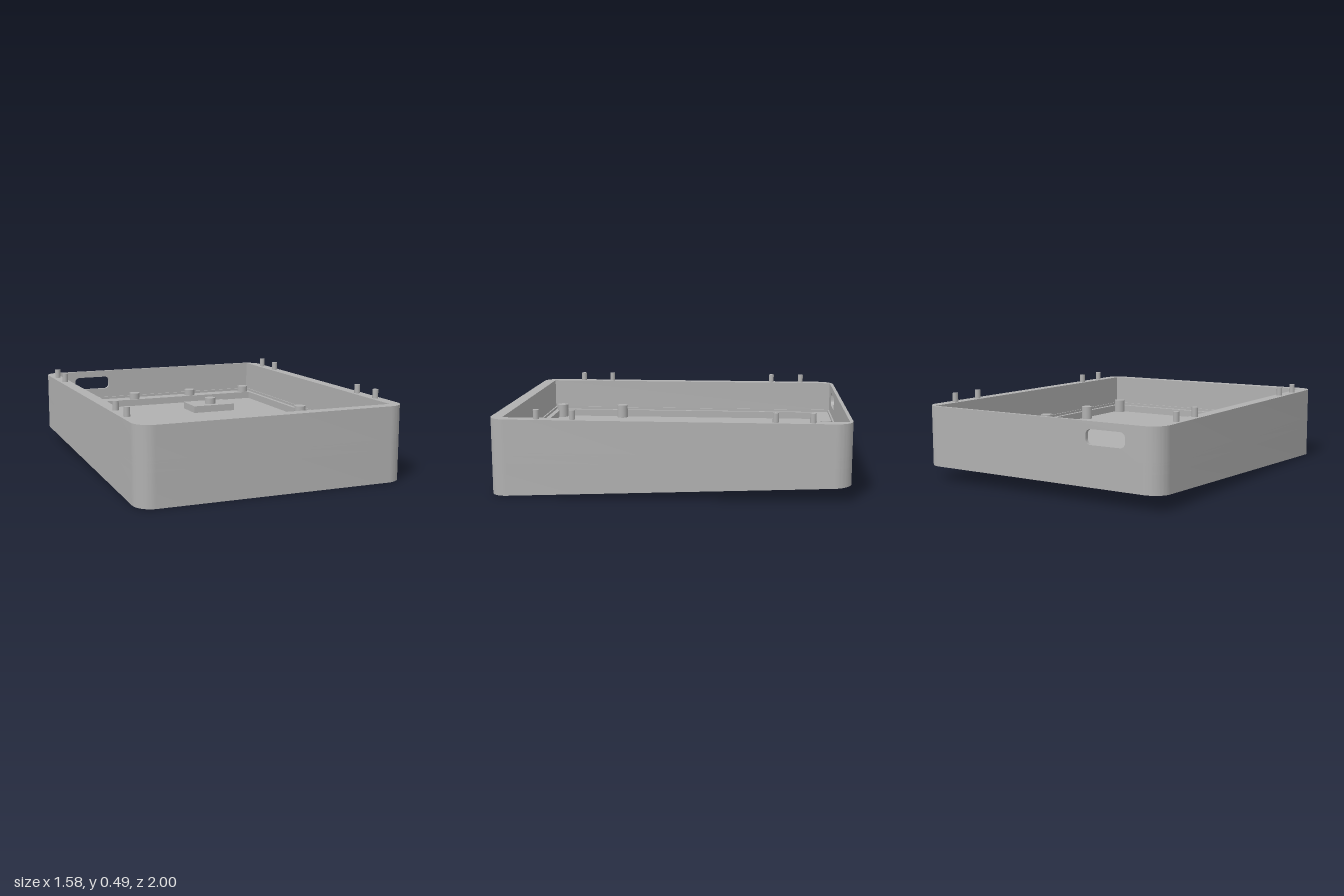
import * as THREE from 'three';
import { toCreasedNormals } from 'three/addons/utils/BufferGeometryUtils.js';

const W = 0.79, L = 1, R = 0.1;            // half width, half length, corner radius
const FLOOR = 0.19, LEDGE = 0.235, STEP = 0.25, RIM = 0.435;
const POST_TOP = 0.275, PEG_TOP = 0.487;

// Rounded rectangle traced clockwise or not as a Shape/Path
function roundedRect(path, x0, y0, x1, y1, r) {
  path.moveTo(x0 + r, y0);
  path.lineTo(x1 - r, y0);
  path.absarc(x1 - r, y0 + r, r, -Math.PI / 2, 0, false);
  path.lineTo(x1, y1 - r);
  path.absarc(x1 - r, y1 - r, r, 0, Math.PI / 2, false);
  path.lineTo(x0 + r, y1);
  path.absarc(x0 + r, y1 - r, r, Math.PI / 2, Math.PI, false);
  path.lineTo(x0, y0 + r);
  path.absarc(x0 + r, y0 + r, r, Math.PI, Math.PI * 1.5, false);
  return path;
}

// Plan shapes use shape y = -z, so the back is +y
function outline(hole) {
  const s = roundedRect(new THREE.Shape(), -W, -L, W, L, R);
  if (hole) {
    const { x, back, front } = hole;
    s.holes.push(new THREE.Path([
      [-x, -front], [-x, -back], [x, -back], [x, -front],
    ].map(([a, b]) => new THREE.Vector2(a, b))));
  }
  return s;
}

// Extrude a plan shape upward from y0 to y1
function slab(shape, y0, y1) {
  const g = new THREE.ExtrudeGeometry(shape, { depth: y1 - y0, bevelEnabled: false, curveSegments: 10 });
  g.rotateX(-Math.PI / 2);
  g.translate(0, y0, 0);
  return g;
}

export function createModel() {
  const group = new THREE.Group();
  const grey = new THREE.MeshStandardMaterial({ color: 0xb0b0b0 });
  grey.name = 'grey';

  const add = (name, geometry, x = 0, y = 0, z = 0) => {
    const m = new THREE.Mesh(geometry, grey);
    m.name = name;
    m.position.set(x, y, z);
    group.add(m);
    return m;
  };
  const smooth = (g) => toCreasedNormals(g, 0.5);

  // Wedge base: flat floor, underside rising toward the back
  const base = slab(outline(), 0, FLOOR);
  const p = base.attributes.position;
  for (let i = 0; i < p.count; i++) {
    if (p.getY(i) < 0.01) p.setY(i, 0.0425 * (1 - p.getZ(i)));
  }
  add('base', smooth(base));

  // Ledge around the floor and the small step above it
  add('ledge', smooth(slab(outline({ x: 0.69, back: -0.875, front: 0.89 }), FLOOR, LEDGE)));
  add('step', smooth(slab(outline({ x: 0.713, back: -0.97, front: 0.92 }), LEDGE, STEP)));

  // Walls, left open where the slotted panel sits
  const g0 = -0.65, g1 = -0.25, inX = 0.72, inBack = 0.98, inFront = -0.93;
  const wall = new THREE.Shape();
  wall.moveTo(g1, L);
  wall.lineTo(W - R, L);
  wall.absarc(W - R, L - R, R, Math.PI / 2, 0, true);
  wall.lineTo(W, -L + R);
  wall.absarc(W - R, -L + R, R, 0, -Math.PI / 2, true);
  wall.lineTo(-W + R, -L);
  wall.absarc(-W + R, -L + R, R, -Math.PI / 2, -Math.PI, true);
  wall.lineTo(-W, L - R);
  wall.absarc(-W + R, L - R, R, Math.PI, Math.PI / 2, true);
  for (const [x, y] of [[g0, L], [g0, inBack], [-inX, inBack], [-inX, inFront],
    [inX, inFront], [inX, inBack], [g1, inBack]]) wall.lineTo(x, y);
  wall.closePath();
  add('walls', smooth(slab(wall, STEP, RIM)));

  // Back panel with the rounded slot
  const panel = new THREE.Shape([[g0, STEP], [g1, STEP], [g1, RIM], [g0, RIM]]
    .map(([x, y]) => new THREE.Vector2(x, y)));
  panel.holes.push(roundedRect(new THREE.Path(), -0.585, 0.31, -0.343, 0.393, 0.03));
  const panelGeo = new THREE.ExtrudeGeometry(panel, { depth: L - inBack, bevelEnabled: false, curveSegments: 8 });
  add('slotPanel', smooth(panelGeo), 0, 0, -L);

  // Mounting block on the floor
  add('mountingBlock', new THREE.BoxGeometry(0.29, LEDGE - FLOOR, 0.2), 0.24, (FLOOR + LEDGE) / 2, -0.555);

  // Support posts, all level at the top
  const postGeo = new THREE.CylinderGeometry(0.036, 0.036, POST_TOP - FLOOR, 28);
  for (const [x, z] of [[-0.175, -0.92], [0.24, -0.92], [0.66, -0.92], [0.24, -0.53],
    [0.66, -0.015], [0.66, 0.45], [0.66, 0.87], [-0.665, 0.45], [-0.665, 0.87]]) {
    add('supportPost', postGeo, x, (FLOOR + POST_TOP) / 2, z);
  }

  // Alignment pegs on the side rims
  const pegGeo = new THREE.CylinderGeometry(0.017, 0.017, PEG_TOP - RIM, 20);
  for (const side of [-1, 1]) {
    for (const z of [-0.78, -0.58, 0.53, 0.73]) {
      add('alignmentPeg', pegGeo, side * 0.754, (RIM + PEG_TOP) / 2, z);
    }
  }
  return group;
}
